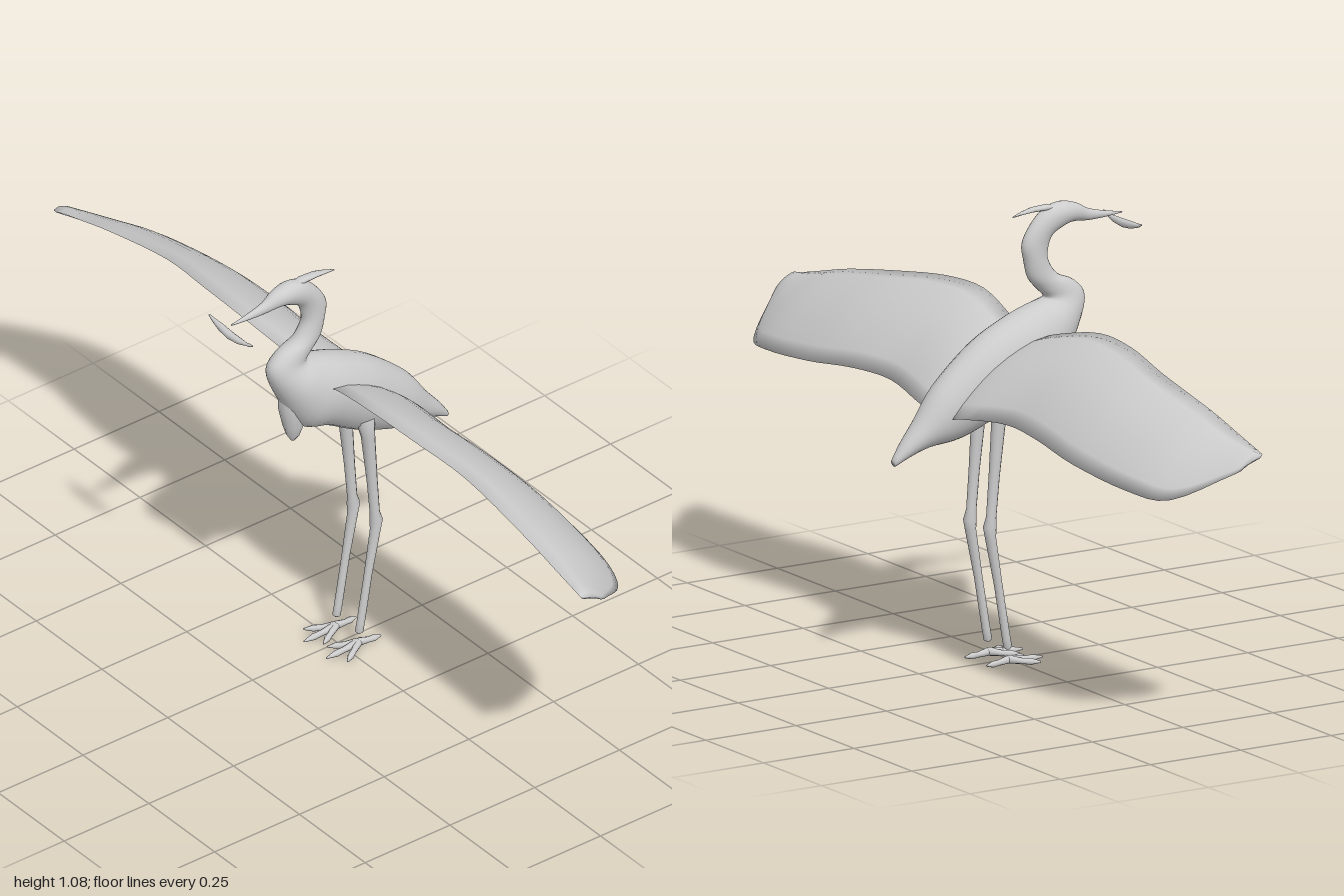
import * as THREE from 'three';

const V = (x, y, z) => new THREE.Vector3(x, y, z);
const grey = new THREE.MeshStandardMaterial({ color: 0xcccccc });
grey.name = 'plumage grey';

// Closed skin over a list of rings, with both ends capped
function loft(name, rings) {
  const n = rings[0].length, pts = rings.flat(), index = [];
  const tri = (a, b, c) => index.push(a, b, c);
  for (let i = 0; i < rings.length - 1; i++) {
    for (let j = 0; j < n; j++) {
      const a = i * n + j, b = i * n + (j + 1) % n;
      tri(a, b, a + n);
      tri(b, b + n, a + n);
    }
  }
  const last = (rings.length - 1) * n;
  const mid = r => r.reduce((s, p) => s.add(p), V(0, 0, 0)).divideScalar(n);
  const c0 = pts.length;
  pts.push(mid(rings[0]), mid(rings[rings.length - 1]));
  for (let j = 0; j < n; j++) {
    const k = (j + 1) % n;
    tri(c0, k, j);
    tri(c0 + 1, last + j, last + k);
  }
  // Make the skin face outwards
  let volume = 0;
  for (let i = 0; i < index.length; i += 3) {
    volume += pts[index[i]].dot(pts[index[i + 1]].clone().cross(pts[index[i + 2]]));
  }
  if (volume < 0) index.reverse();
  const geo = new THREE.BufferGeometry().setFromPoints(pts);
  geo.setIndex(index);
  geo.computeVertexNormals();
  const mesh = new THREE.Mesh(geo, grey);
  mesh.name = name;
  return mesh;
}

// Smooth curve through the points, sampled evenly per station
const smooth = (points, count) =>
  new THREE.CatmullRomCurve3(points, false, 'catmullrom', 0.5).getPoints(count);

// Tapered limb along a path; each point is [x, y, z, radius]
function limb(name, path, sides = 10, flat = 1) {
  const c = path.map(p => V(p[0], p[1], p[2]));
  const rings = c.map((p, i) => {
    const dir = c[Math.min(i + 1, c.length - 1)].clone().sub(c[Math.max(i - 1, 0)]).normalize();
    const ref = Math.abs(dir.y) > 0.7 ? V(1, 0, 0) : V(0, 1, 0);
    const side = dir.clone().cross(ref).normalize();
    const up = side.clone().cross(dir);
    return Array.from({ length: sides }, (_, j) => {
      const a = j / sides * Math.PI * 2, r = path[i][3];
      return p.clone().addScaledVector(side, r * Math.cos(a)).addScaledVector(up, r * flat * Math.sin(a));
    });
  });
  return loft(name, rings);
}

// Body, neck, head and beak: upper z,y; lower z,y; half width
function body() {
  const s = [
    [-.322, .527, -.318, .510, .010],
    [-.295, .565, -.275, .530, .024],
    [-.256, .613, -.227, .545, .038],
    [-.200, .690, -.140, .556, .058],
    [-.098, .777, -.040, .596, .071],
    [-.010, .823, .050, .648, .074],
    [.050, .846, .120, .675, .071],
    [.085, .855, .168, .757, .060],
    [.098, .862, .205, .848, .037],
    [.078, .882, .178, .892, .030],
    [.053, .912, .130, .915, .026],
    [.042, .955, .105, .952, .024],
    [.037, .995, .106, .984, .023],
    [.060, 1.037, .118, 1.010, .024],
    [.098, 1.073, .148, 1.026, .027],
    [.142, 1.085, .168, 1.032, .026],
    [.185, 1.076, .190, 1.032, .020],
    [.218, 1.058, .218, 1.029, .012],
    [.262, 1.046, .262, 1.030, .007],
    [.312, 1.037, .312, 1.034, .002],
  ];
  const count = (s.length - 1) * 4;
  const top = smooth(s.map(r => V(0, r[1], r[0])), count);
  const low = smooth(s.map(r => V(r[4], r[3], r[2])), count);
  const rings = top.map((t, i) => {
    const w = low[i].x, b = V(0, low[i].y, low[i].z);
    return Array.from({ length: 24 }, (_, j) => {
      const a = j / 24 * Math.PI * 2;
      const p = b.clone().lerp(t, 0.5 + 0.5 * Math.cos(a));
      p.x = w * Math.sin(a);
      return p;
    });
  });
  return loft('body', rings);
}

// Thin cambered wing: x; leading z,y; trailing z,y
function wing(side) {
  const s = [
    [.03, .06, .770, -.190, .612],
    [.10, .070, .797, -.190, .627],
    [.25, .090, .829, -.170, .645],
    [.40, .084, .827, -.180, .642],
    [.57, .062, .804, -.190, .622],
    [.78, .060, .763, -.175, .602],
    [.90, .060, .732, -.130, .600],
    [1.0, .060, .706, -.010, .670],
  ];
  const count = (s.length - 1) * 4, n = 8;
  const lead = smooth(s.map(r => V(r[0], r[2], r[1])), count);
  const trail = smooth(s.map(r => V(r[0], r[4], r[3])), count);
  const rings = lead.map((l, i) => {
    const t = trail[i], chord = t.clone().sub(l);
    const normal = V(0, -chord.z, chord.y).normalize();
    const size = chord.length();
    return Array.from({ length: n * 2 }, (_, j) => {
      const u = j <= n ? j / n : 2 - j / n;
      const bow = Math.sin(Math.PI * u);
      const half = 0.003 + 0.005 * Math.sin(Math.PI * Math.sqrt(u));
      const p = l.clone().addScaledVector(chord, u);
      const edge = j % n === 0 ? 0 : (j < n ? half : -half);
      p.addScaledVector(normal, bow * size * 0.075 + edge);
      p.x *= side;
      return p;
    });
  });
  return loft(side > 0 ? 'leftWing' : 'rightWing', rings);
}

function leg(side) {
  const g = new THREE.Group();
  g.name = side > 0 ? 'leftLeg' : 'rightLeg';
  const x = side * 0.043;
  g.add(limb('shank', [
    [x, .645, -.048, .024], [x, .59, -.057, .017], [x, .46, -.069, .013], [x, .365, -.077, .012],
    [x, .34, -.081, .016], [x, .315, -.079, .013], [x, .2, -.058, .010],
    [x, .07, -.036, .010], [x, .045, -.031, .010], [x, .04, -.031, .004],
  ], 12));
  // Three forward toes and one back toe
  const toes = [[0, .065], [.041, .035], [-.036, .035], [.004, -.092]];
  toes.forEach(([dx, z]) => {
    const at = (t, y, r) => [x + side * dx * t, y, -.03 + (z + .03) * t, r];
    g.add(limb('toe', [at(-.08, .014, .004), at(.05, .015, .010), at(.45, .011, .007),
      at(.7, .010, .008), at(1, .009, .002)], 8));
  });
  return g;
}

export function createModel() {
  const model = new THREE.Group();
  model.name = 'wadingBird';
  model.add(body());
  for (const side of [1, -1]) model.add(wing(side), leg(side));

  // Swept-back head crest
  model.add(limb('crest', [
    [0, 1.070, .150, .008], [0, 1.076, .105, .013], [0, 1.075, .065, .011],
    [0, 1.070, .035, .007], [0, 1.064, .010, .002],
  ], 10, 0.55));

  // Hanging breast feathers
  model.add(limb('breastTuft', [
    [0, .790, .135, .030], [0, .730, .135, .032], [0, .680, .130, .026],
    [0, .650, .131, .016], [0, .634, .132, .005],
  ], 12));

  // Small fish held crosswise in front of the beak
  model.add(limb('fish', [
    [-.082, 1.021, .314, .002], [-.066, 1.016, .314, .005], [-.035, 1.011, .315, .009],
    [0, 1.008, .316, .010], [.035, 1.010, .315, .008], [.058, 1.014, .314, .004],
    [.068, 1.017, .314, .004], [.082, 1.021, .314, .002],
  ], 10));
  return model;
}
